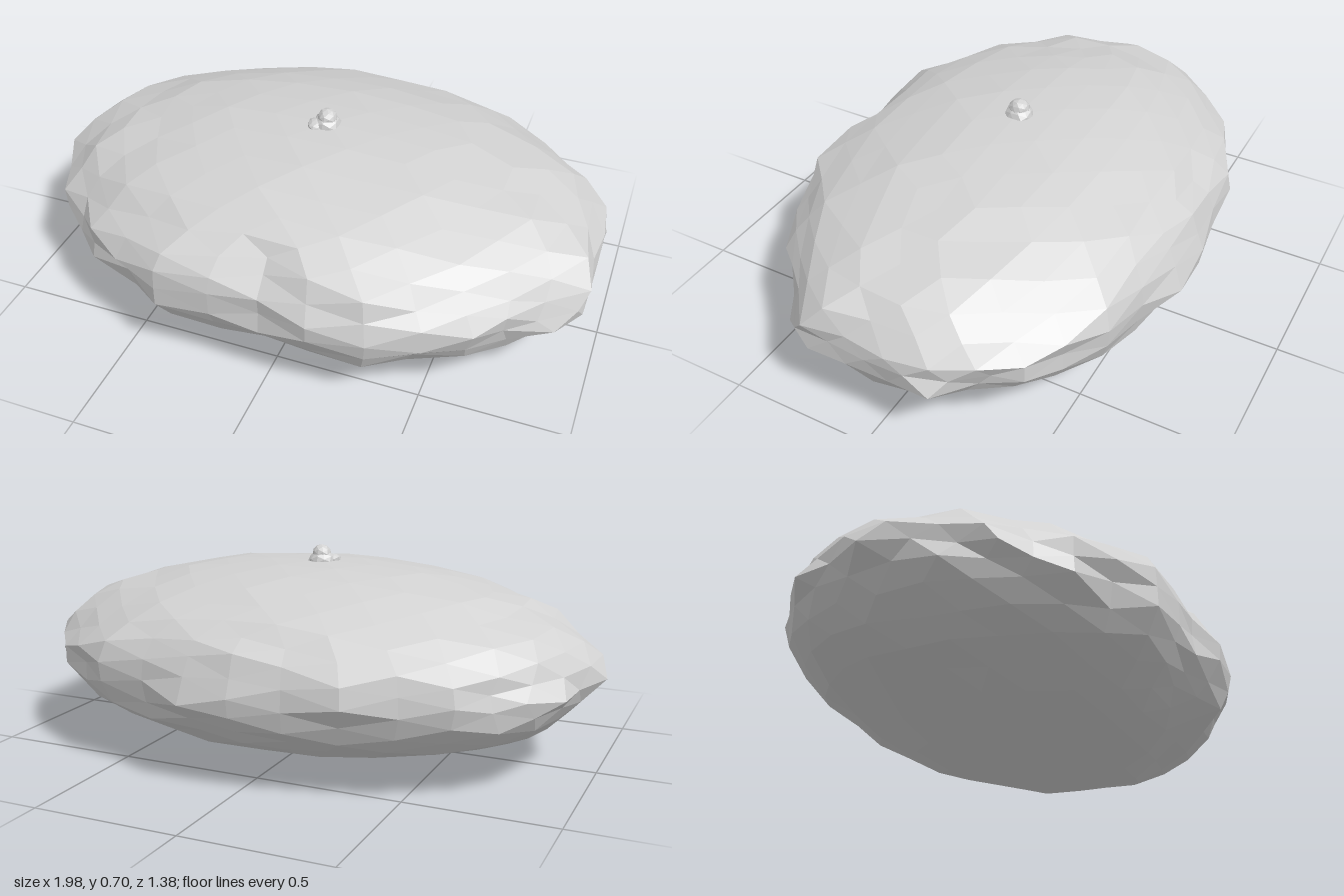
import * as THREE from 'three';
import { mergeVertices } from 'three/addons/utils/BufferGeometryUtils.js';

const stone = new THREE.MeshStandardMaterial({ color: 0xd2d2d2 });
stone.name = 'pale grey stone';
stone.flatShading = true;

// Plan outline of the boulder as x, z corners
const outline = [
  [1, 0], [0.97, 0.23], [0.82, 0.4], [0.57, 0.57], [0.3, 0.7], [0, 0.655], [-0.33, 0.7],
  [-0.55, 0.58], [-0.72, 0.5], [-0.93, 0.22], [-1, -0.1], [-0.9, -0.33], [-0.7, -0.51],
  [-0.46, -0.64], [-0.16, -0.69], [0.14, -0.7], [0.43, -0.64], [0.59, -0.59],
  [0.83, -0.37], [0.97, -0.23],
].map(([x, z]) => ({ a: angle(x, z / 0.7), r: Math.hypot(x, z / 0.7) }));

function angle(x, z) {
  return (Math.atan2(z, x) + Math.PI * 2) % (Math.PI * 2);
}

// Outline radius in a direction, easing to a plain ellipse at the poles
function planScale({ x, y, z }) {
  const a = angle(x, z);
  for (let i = 0; i < outline.length; i++) {
    const p = outline[i], q = outline[(i + 1) % outline.length];
    const end = q.a > p.a ? q.a : q.a + Math.PI * 2;
    if (a >= p.a && a <= end) {
      const r = THREE.MathUtils.lerp(p.r, q.r, (a - p.a) / (end - p.a));
      return 0.985 * THREE.MathUtils.lerp(r, 1, y * y);
    }
  }
  return 1;
}

function seeded(seed) {
  return () => {
    seed = (seed * 16807) % 2147483647;
    return seed / 2147483647;
  };
}

// Faceted stone: a welded icosahedron, roughened most around its sides
function stoneGeometry(detail, rough, seed, centre, radii, shape = () => 1) {
  let geo = new THREE.IcosahedronGeometry(1, detail);
  geo.deleteAttribute('uv');
  geo.deleteAttribute('normal');
  geo = mergeVertices(geo, 1e-3);
  const rand = seeded(seed), pos = geo.attributes.position, p = new THREE.Vector3();
  for (let i = 0; i < pos.count; i++) {
    p.fromBufferAttribute(pos, i);
    const r = 1 + (rand() - 0.5) * rough * (1.1 - 0.85 * Math.abs(p.y));
    const s = r * shape(p);
    const slide = (rand() - 0.5) * rough * (1 - p.y * p.y);
    pos.setXYZ(i, p.x * s, p.y * r + slide, p.z * s);
  }
  geo.scale(...radii);
  geo.translate(...centre);
  geo = geo.toNonIndexed();
  geo.computeVertexNormals();
  return geo;
}

export function createModel() {
  const group = new THREE.Group();
  group.name = 'boulder with pebbles';
  const add = (name, geo) => {
    const mesh = new THREE.Mesh(geo, stone);
    mesh.name = name;
    group.add(mesh);
  };

  // Large flattened boulder
  add('boulder', stoneGeometry(5, 0.06, 2024, [0, 0.322, 0], [1, 0.322, 0.7], planScale));

  // Small heap of pebbles on the crown
  add('pebbleBase', stoneGeometry(1, 0.15, 77, [-0.008, 0.638, 0], [0.05, 0.04, 0.05]));
  add('pebbleTop', stoneGeometry(1, 0.1, 31, [-0.006, 0.664, 0], [0.034, 0.032, 0.036]));
  add('pebbleChip', stoneGeometry(1, 0.2, 53, [-0.038, 0.638, 0.024], [0.03, 0.025, 0.035]));
  return group;
}
